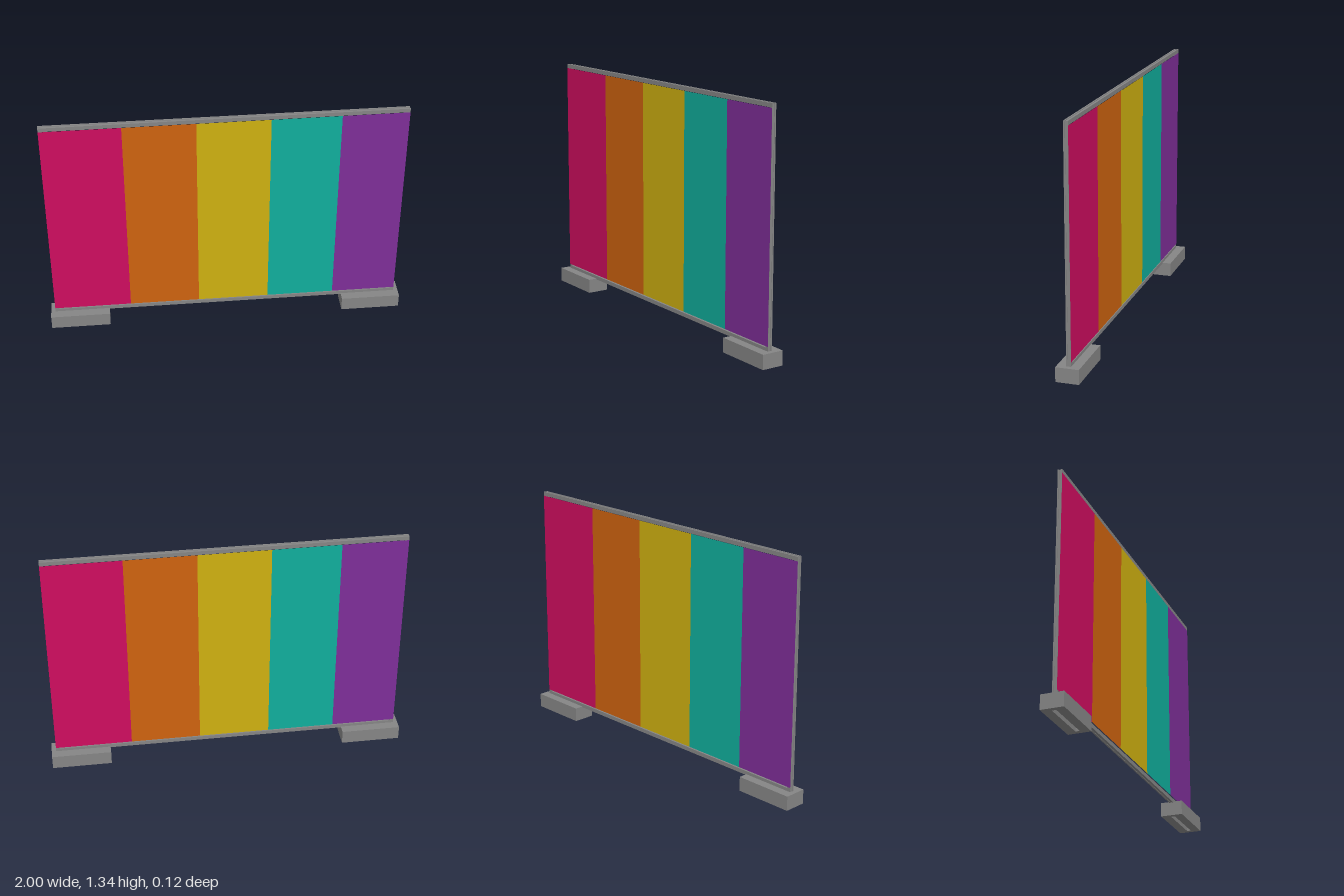
import * as THREE from 'three';

const paint = (name, color) => {
  const m = new THREE.MeshStandardMaterial({ color });
  m.name = name;
  return m;
};

export function createModel() {
  const model = new THREE.Group();
  model.name = 'stripedDisplayWall';
  const grey = paint('frameGrey', 0x858585);
  const stripes = [
    paint('crimson', 0xce0d5f),
    paint('orange', 0xce630f),
    paint('yellow', 0xceb010),
    paint('teal', 0x10ae9c),
    paint('purple', 0x7e2e98),
  ];

  const W = 0.975, D = 0.0125, TOP = 1.335, BOTTOM = 0.075, BAR = 0.022;

  const add = (parent, name, geometry, material, x, y, z) => {
    const mesh = new THREE.Mesh(geometry, material);
    mesh.name = name;
    mesh.position.set(x, y, z);
    parent.add(mesh);
    return mesh;
  };

  // Rectangle outline, used for the frame and the feet
  const rect = (C, x0, y0, x1, y1) => {
    const p = new C();
    p.moveTo(x0, y0);
    p.lineTo(x1, y0);
    p.lineTo(x1, y1);
    p.lineTo(x0, y1);
    p.closePath();
    return p;
  };

  // Rectangular frame: two outer rails with a slightly sunken core between them
  const ring = (inset, depth) => {
    const shape = rect(THREE.Shape, -W + inset, BOTTOM + inset, W - inset, TOP - inset);
    shape.holes.push(rect(THREE.Path, -W + BAR, BOTTOM + BAR, W - BAR, TOP - BAR));
    return new THREE.ExtrudeGeometry(shape, { depth, bevelEnabled: false });
  };
  const frame = new THREE.Group();
  frame.name = 'frame';
  model.add(frame);
  const rail = ring(0, 0.0085);
  add(frame, 'frontRail', rail, grey, 0, 0, D - 0.0085);
  add(frame, 'backRail', rail, grey, 0, 0, -D);
  add(frame, 'frameCore', ring(0.003, 0.008), grey, 0, 0, -0.004);

  // Striped fabric, the same picture on both faces
  const edges = [-W, -0.545, -0.155, 0.24, 0.615, W];
  const y0 = 0.104, y1 = 1.312;
  for (const side of ['front', 'back']) {
    const fabric = new THREE.Group();
    fabric.name = side + 'Fabric';
    if (side === 'back') fabric.rotation.y = Math.PI;
    stripes.forEach((material, i) => {
      const w = edges[i + 1] - edges[i];
      add(fabric, material.name + 'Stripe', new THREE.PlaneGeometry(w, y1 - y0), material,
        edges[i] + w / 2, (y0 + y1) / 2, D + 0.0006);
    });
    model.add(fabric);
  }

  // Block feet with a slot underneath that the frame closes from above
  const footShape = rect(THREE.Shape, -0.1665, -0.0625, 0.1665, 0.0625);
  footShape.holes.push(rect(THREE.Path, -0.14, -0.0115, 0.14, 0.0115));
  const footGeometry = new THREE.ExtrudeGeometry(footShape, { depth: 0.08, bevelEnabled: false });
  footGeometry.rotateX(-Math.PI / 2);
  for (const s of [1, -1]) {
    add(model, s > 0 ? 'leftFoot' : 'rightFoot', footGeometry, grey, s * 0.8335, 0, 0);
  }
  return model;
}
